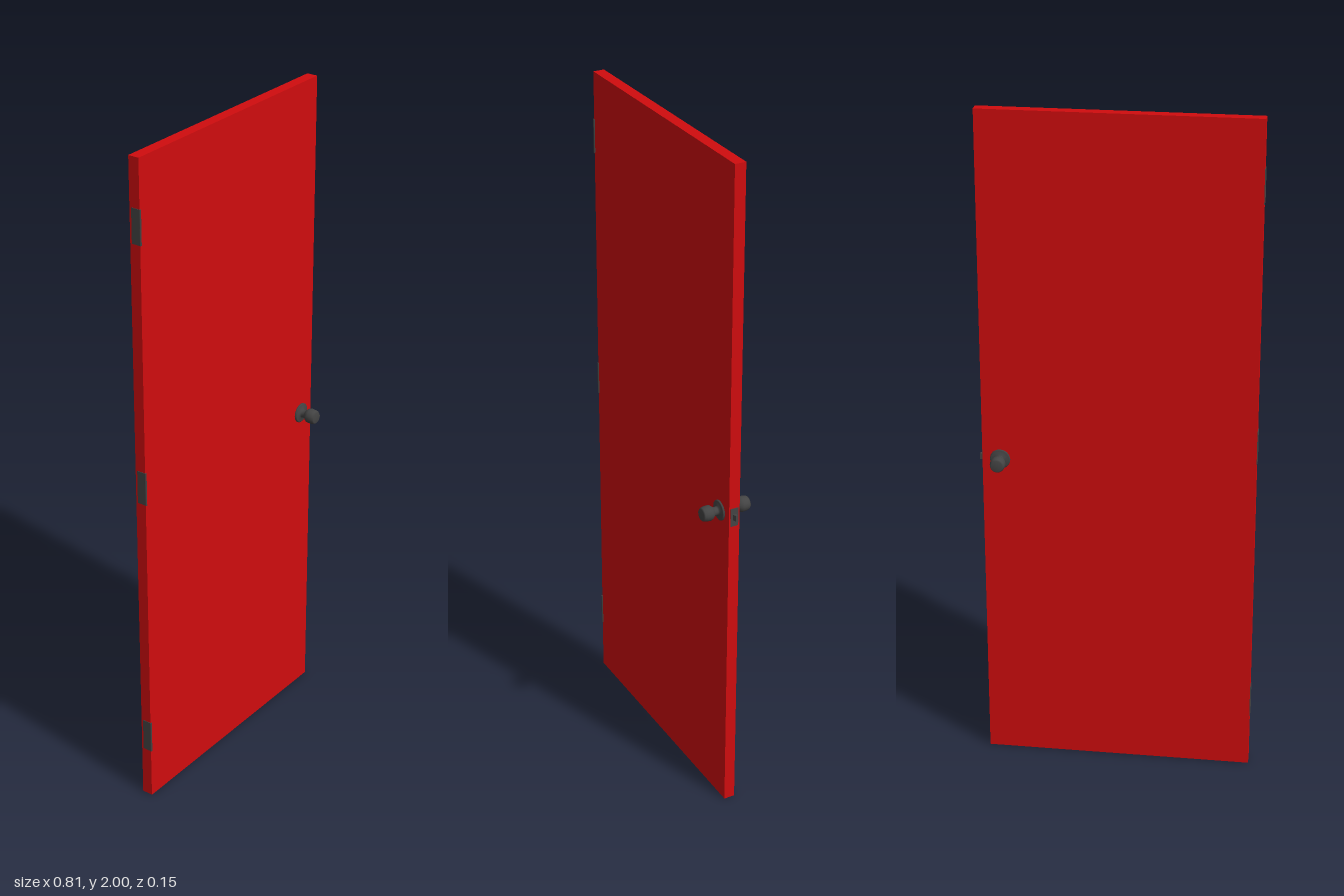
import * as THREE from 'three';

const red = new THREE.MeshStandardMaterial({ color: 0xd00c0e });
const dark = new THREE.MeshStandardMaterial({ color: 0x444444 });

const SLAB = { left: -0.402, right: 0.392, z: -0.001, depth: 0.033 };
const KNOB = { x: 0.34, y: 0.966 };

function box(name, material, size, position) {
  const mesh = new THREE.Mesh(new THREE.BoxGeometry(...size), material);
  mesh.name = name;
  mesh.position.set(...position);
  return mesh;
}

// Rosette, neck and rounded grip turned around one axis
function makeKnob(name, direction) {
  const profile = [
    [0, 0.012], [0.03, 0.012], [0.03, 0.019], [0.027, 0.021], [0.014, 0.022],
    [0.0125, 0.027], [0.0125, 0.035], [0.016, 0.039], [0.021, 0.045],
    [0.0226, 0.052], [0.022, 0.062], [0.02, 0.07], [0.017, 0.074], [0, 0.074],
  ].map(([r, d]) => new THREE.Vector2(r, d));
  const mesh = new THREE.Mesh(new THREE.LatheGeometry(profile, 16), dark);
  mesh.name = name;
  mesh.rotation.x = direction * Math.PI / 2;
  mesh.position.set(KNOB.x, KNOB.y, 0);
  return mesh;
}

// Thin leaf let into the door edge, with a slim knuckle at the front corner
function makeHinge(y) {
  const hinge = new THREE.Group();
  hinge.name = 'hinge';
  hinge.add(box('hingeLeaf', dark, [0.003, 0.1, 0.028], [SLAB.left, y, 0.003]));
  const knuckle = new THREE.Mesh(new THREE.CylinderGeometry(0.003, 0.003, 0.1, 10), dark);
  knuckle.name = 'hingeKnuckle';
  knuckle.position.set(SLAB.left + 0.001, y, 0.016);
  hinge.add(knuckle);
  return hinge;
}

// Latch bolt with one bevelled side, projecting from its face plate
function makeLatch() {
  const latch = new THREE.Group();
  latch.name = 'latch';
  latch.add(box('latchPlate', dark, [0.003, 0.056, 0.024], [SLAB.right, KNOB.y, SLAB.z]));
  const outline = new THREE.Shape();
  outline.moveTo(0, -0.005);
  outline.lineTo(0.01, -0.001);
  outline.lineTo(0.01, 0.005);
  outline.lineTo(0, 0.005);
  const geometry = new THREE.ExtrudeGeometry(outline, { depth: 0.018, bevelEnabled: false });
  geometry.translate(0, 0, -0.009);
  geometry.rotateX(-Math.PI / 2);
  const bolt = new THREE.Mesh(geometry, dark);
  bolt.name = 'latchBolt';
  bolt.position.set(SLAB.right, KNOB.y, SLAB.z);
  latch.add(bolt);
  return latch;
}

export function createModel() {
  const door = new THREE.Group();
  door.name = 'door';
  door.add(box('doorSlab', red, [SLAB.right - SLAB.left, 2, SLAB.depth],
    [(SLAB.left + SLAB.right) / 2, 1, SLAB.z]));
  door.add(makeKnob('frontKnob', 1), makeKnob('backKnob', -1));
  door.add(makeLatch());
  for (const y of [0.21, 1.04, 1.81]) door.add(makeHinge(y));
  return door;
}
